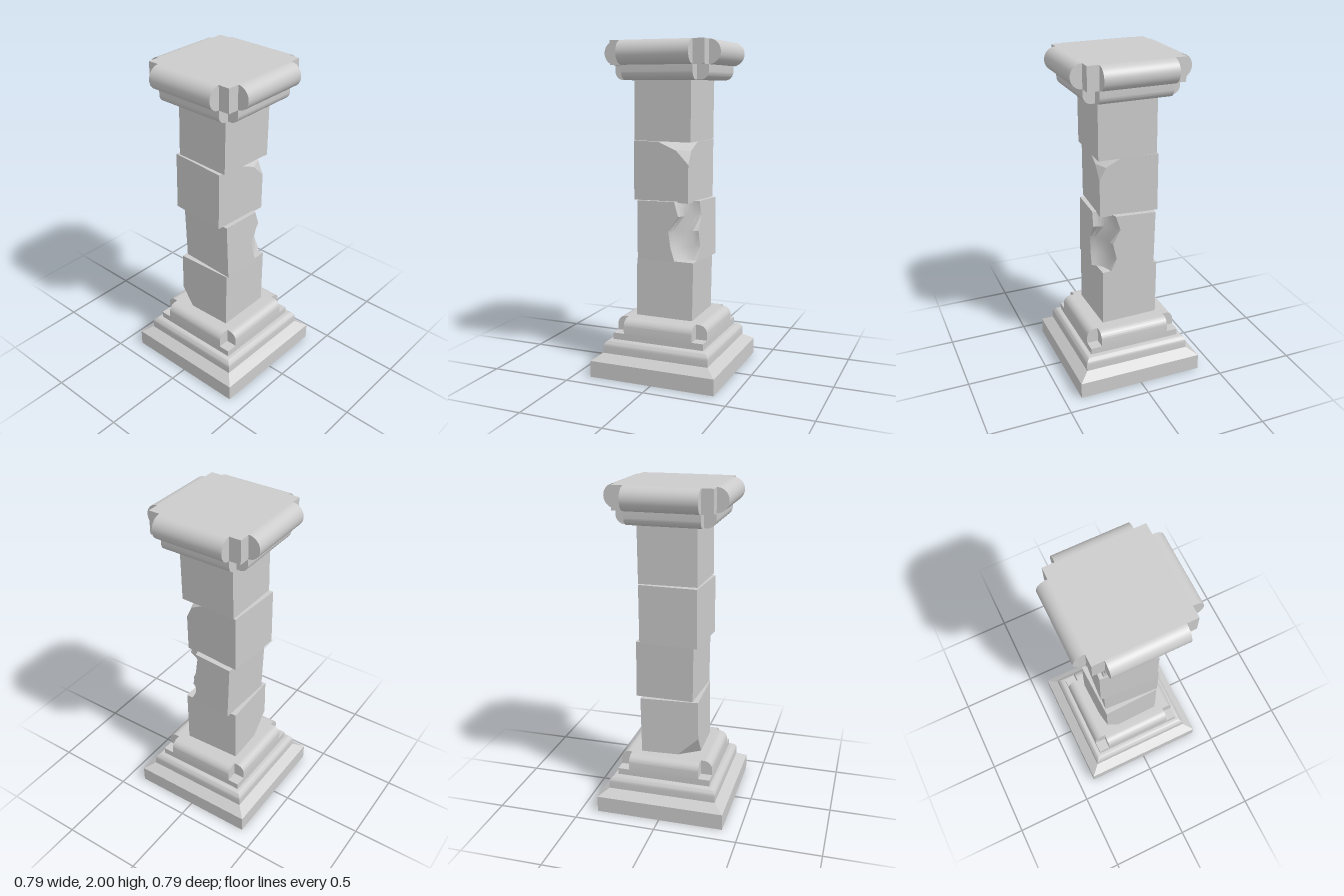
import * as THREE from 'three';
import { toCreasedNormals } from 'three/addons/utils/BufferGeometryUtils.js';

const CREASE = 0.6;
const material = new THREE.MeshStandardMaterial({ color: 0xcccccc });

function part(name, geometry, crease = CREASE) {
  const flat = geometry.index ? geometry.toNonIndexed() : geometry;
  const mesh = new THREE.Mesh(toCreasedNormals(flat, crease), material);
  mesh.name = name;
  return mesh;
}

// Square moulding: a profile turned through four sides
function squareTurned(name, profile) {
  const points = profile.map(([half, y]) => new THREE.Vector2(half * Math.SQRT2, y));
  return part(name, new THREE.LatheGeometry(points, 4, Math.PI / 4));
}

function box(name, half, y0, y1) {
  const mesh = part(name, new THREE.BoxGeometry(half * 2, y1 - y0, half * 2));
  mesh.position.y = (y0 + y1) / 2;
  return mesh;
}

// Four short rolls, one per side, leaving the corners notched
function rolls(name, shape) {
  const group = new THREE.Group();
  group.name = name;
  const geometry = new THREE.ExtrudeGeometry(shape, { depth: 0.44, bevelEnabled: false, curveSegments: 10 });
  geometry.translate(0, 0, -0.22);
  for (let i = 0; i < 4; i++) {
    const roll = part(name + 'Side', geometry);
    roll.rotation.y = i * Math.PI / 2;
    group.add(roll);
  }
  return group;
}

// Stone block from stacked sections. Each level is [y, cutX, cutZ], the
// lengths broken off either side of the +x +z corner; bow hollows the break.
function block(name, levels, bow = 0) {
  const h = 0.18, steps = 6;
  const sections = levels.map(([y, cx, cz]) => {
    const a = new THREE.Vector2(h - cx, h), b = new THREE.Vector2(h, h - cz);
    const mid = a.clone().add(b).multiplyScalar(0.5).subScalar(bow);
    const bite = new THREE.QuadraticBezierCurve(a, mid, b).getPoints(steps);
    return [[h, -h], [-h, -h], [-h, h], ...bite.map(p => [p.x, p.y])].map(([x, z]) => [x, y, z]);
  });
  const pos = [];
  const tri = (...corners) => corners.forEach(c => pos.push(...c));
  const n = sections[0].length, last = sections.length - 1;
  const centre = i => [-0.05, levels[i][0], -0.05];
  for (let j = 0; j < n; j++) {
    const k = (j + 1) % n;
    for (let i = 0; i < last; i++) {
      const [a, b, c, d] = [sections[i][j], sections[i][k], sections[i + 1][k], sections[i + 1][j]];
      tri(a, b, c);
      tri(a, c, d);
    }
    tri(centre(0), sections[0][k], sections[0][j]);
    tri(centre(last), sections[last][j], sections[last][k]);
  }
  const geometry = new THREE.BufferGeometry();
  geometry.setAttribute('position', new THREE.Float32BufferAttribute(pos, 3));
  return part(name, geometry, bow ? CREASE : 0.1);
}

function place(mesh, position, degrees) {
  mesh.position.set(...position);
  mesh.rotation.set(...degrees.map(THREE.MathUtils.degToRad));
  return mesh;
}

export function createModel() {
  const model = new THREE.Group();
  model.name = 'ruinedColumn';

  // Stepped base with a rounded second step
  const step = [];
  for (let i = 0; i <= 6; i++) {
    const t = i / 6 * Math.PI / 2;
    step.push([0.295 + 0.04 * Math.cos(t), 0.18 + 0.04 * Math.sin(t)]);
  }
  model.add(squareTurned('steppedBase', [
    [0, 0], [0.395, 0], [0.395, 0.1], [0.335, 0.14], ...step,
    [0.29, 0.22], [0.29, 0.26], [0, 0.26],
  ]));

  // Upper base moulding
  model.add(box('baseCore', 0.22, 0.25, 0.35));
  const baseRoll = new THREE.Shape();
  baseRoll.moveTo(0.2, 0.24);
  baseRoll.lineTo(0.29, 0.24);
  baseRoll.lineTo(0.29, 0.3);
  baseRoll.absarc(0.24, 0.3, 0.05, 0, Math.PI / 2, false);
  baseRoll.lineTo(0.2, 0.35);
  model.add(rolls('baseRoll', baseRoll));

  // Loosely stacked shaft blocks
  const half = 0.178;
  const shaft = new THREE.Group();
  shaft.name = 'shaft';
  shaft.add(
    place(block('lowestBlock', [[-half, 0.13, 0.08], [-0.06, 0, 0], [half, 0, 0]]),
      [-0.007, 0.53, -0.008], [0, 181.5, 1]),
    place(block('brokenBlock', [
      [-half, 0.115, 0.085], [-0.1, 0.14, 0.12], [0, 0.155, 0.095],
      [0.09, 0.09, 0.14], [half, 0.115, 0.11]], 0.03),
      [0.015, 0.884, 0.01], [-1.5, -3, 0.8]),
    place(block('chippedBlock', [
      [-half, 0, 0], [0.05, 0, 0], [0.13, 0.08, 0.04], [half, 0.2, 0.13]]),
      [-0.018, 1.24, -0.022], [0.4, -4, -0.5]),
    place(block('topBlock', [[-half, 0, 0], [half, 0, 0]]),
      [-0.004, 1.6, 0], [0.5, -1.8, -0.8]),
  );
  model.add(shaft);

  // Lower capital moulding
  model.add(box('capitalNeck', 0.22, 1.775, 1.87));
  const neckRoll = new THREE.Shape();
  neckRoll.moveTo(0.2, 1.775);
  neckRoll.lineTo(0.24, 1.775);
  neckRoll.absarc(0.24, 1.825, 0.05, -Math.PI / 2, 0, false);
  neckRoll.lineTo(0.29, 1.87);
  neckRoll.lineTo(0.2, 1.87);
  model.add(rolls('neckRoll', neckRoll));

  // Capital slab with half-round rolls
  model.add(box('capitalSlab', 0.29, 1.86, 2));
  const capRoll = new THREE.Shape();
  capRoll.moveTo(0.29, 1.86);
  capRoll.absarc(0.29, 1.93, 0.07, -Math.PI / 2, Math.PI / 2, false);
  model.add(rolls('capitalRoll', capRoll));

  return model;
}
